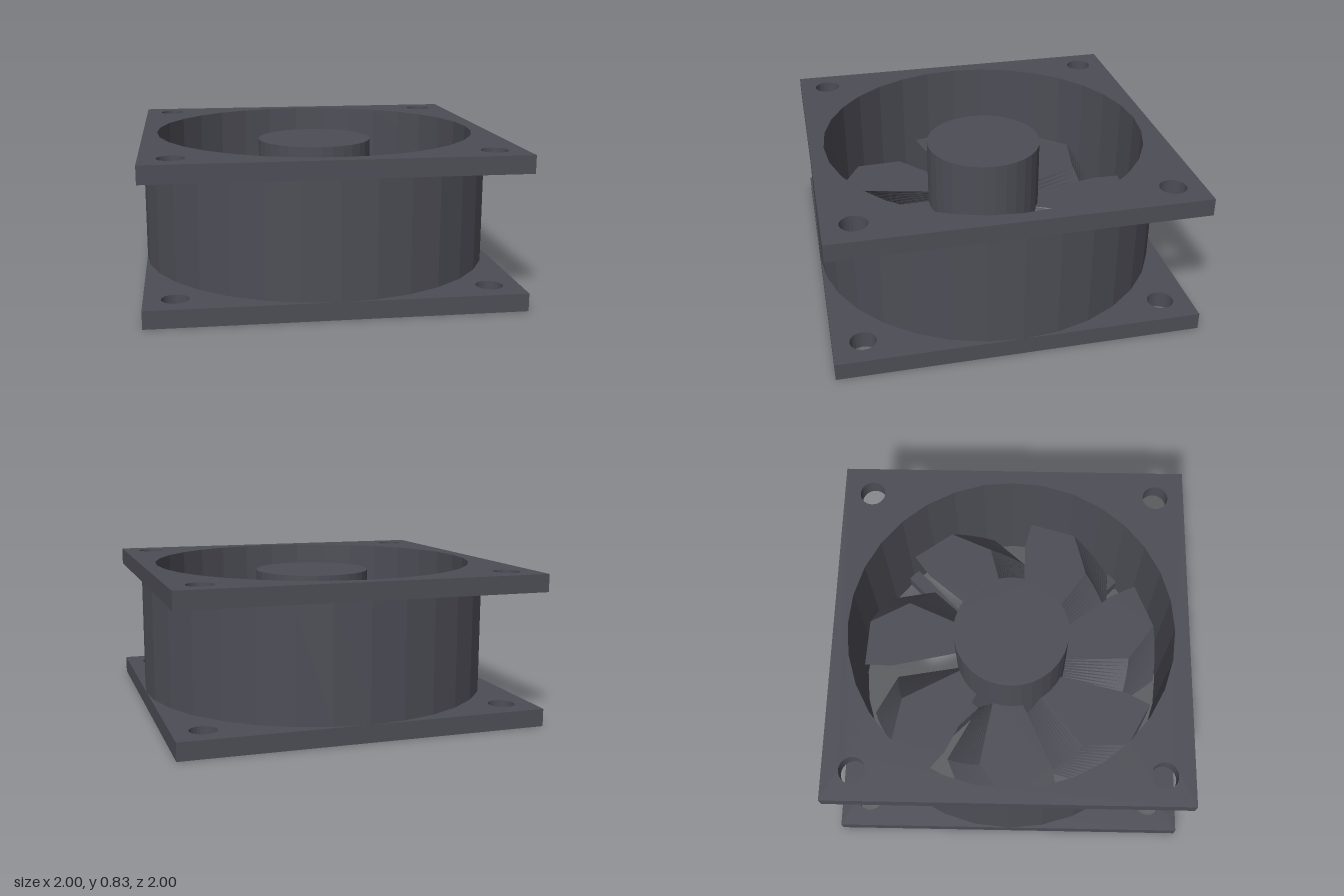
import * as THREE from 'three';

const HEIGHT = 0.833, PLATE = 0.097, BORE = 0.92, SIDES = 32, BLADES = 7;

// regular polygon with a corner on the axes
function circle(radius, sides, cx = 0, cy = 0) {
  return Array.from({ length: sides }, (_, i) => {
    const a = (i / sides) * Math.PI * 2;
    return new THREE.Vector2(cx + radius * Math.cos(a), cy + radius * Math.sin(a));
  });
}

// extrude a flat outline with holes upward from height y
function slab(outline, holes, y, height, steps = 1) {
  const shape = new THREE.Shape(outline);
  shape.holes = holes.map((points) => new THREE.Path(points));
  return new THREE.ExtrudeGeometry(shape, { depth: height, steps, bevelEnabled: false })
    .rotateX(-Math.PI / 2)
    .translate(0, y, 0);
}

// flat-topped blade: one outline extruded upward while it twists
function bladeGeometry() {
  const bottom = 0.15, height = 0.24, twist = THREE.MathUtils.degToRad(18);
  // [radius, angle clockwise from the back in degrees] at the top
  const outline = [
    [0.3, 1], [0.725, -7], [0.885, -5.5], [0.889, 12.7], [0.71, 27], [0.3, 32],
  ].map(([r, deg]) => {
    const a = THREE.MathUtils.degToRad(deg);
    return new THREE.Vector2(r * Math.sin(a), r * Math.cos(a));
  });
  const geometry = slab(outline, [], bottom, height, 12);
  const position = geometry.attributes.position;
  const up = new THREE.Vector3(0, 1, 0);
  const p = new THREE.Vector3();
  for (let i = 0; i < position.count; i++) {
    p.fromBufferAttribute(position, i);
    p.applyAxisAngle(up, -twist * (1 - (p.y - bottom) / height));
    position.setXYZ(i, p.x, p.y, p.z);
  }
  geometry.computeVertexNormals();
  return geometry;
}

export function createModel() {
  const model = new THREE.Group();
  model.name = 'coolingFan';
  const plastic = new THREE.MeshStandardMaterial({ color: 0x4d4d56 });
  plastic.name = 'darkGreyPlastic';

  const add = (name, geometry, parent = model) => {
    const mesh = new THREE.Mesh(geometry, plastic);
    mesh.name = name;
    parent.add(mesh);
    return mesh;
  };

  // square flanges with the bore and four screw holes
  const square = [[-1, -1], [1, -1], [1, 1], [-1, 1]].map(([x, y]) => new THREE.Vector2(x, y));
  const holes = [circle(BORE, SIDES)];
  for (const x of [-0.835, 0.835]) {
    for (const y of [-0.835, 0.835]) holes.push(circle(0.073, 24, x, y));
  }
  add('bottomFlange', slab(square, holes, 0, PLATE));
  add('topFlange', slab(square, holes, HEIGHT - PLATE, PLATE));

  // round duct between the flanges
  add('duct', slab(circle(1, SIDES), [circle(BORE, SIDES)], PLATE, HEIGHT - 2 * PLATE));

  // crossed diagonal struts under the rotor
  for (const side of [-1, 1]) {
    const strut = add('strut', new THREE.BoxGeometry(2 * BORE, PLATE, 0.08));
    strut.position.y = PLATE / 2;
    strut.rotation.y = side * Math.PI / 4;
  }

  // rotor: hub and blades
  const rotor = new THREE.Group();
  rotor.name = 'rotor';
  model.add(rotor);
  add('hub', slab(circle(0.33, SIDES), [], 0.1, 0.68), rotor);
  const blade = bladeGeometry();
  for (let i = 0; i < BLADES; i++) {
    add('blade', blade, rotor).rotation.y = -(i / BLADES) * Math.PI * 2;
  }
  return model;
}
